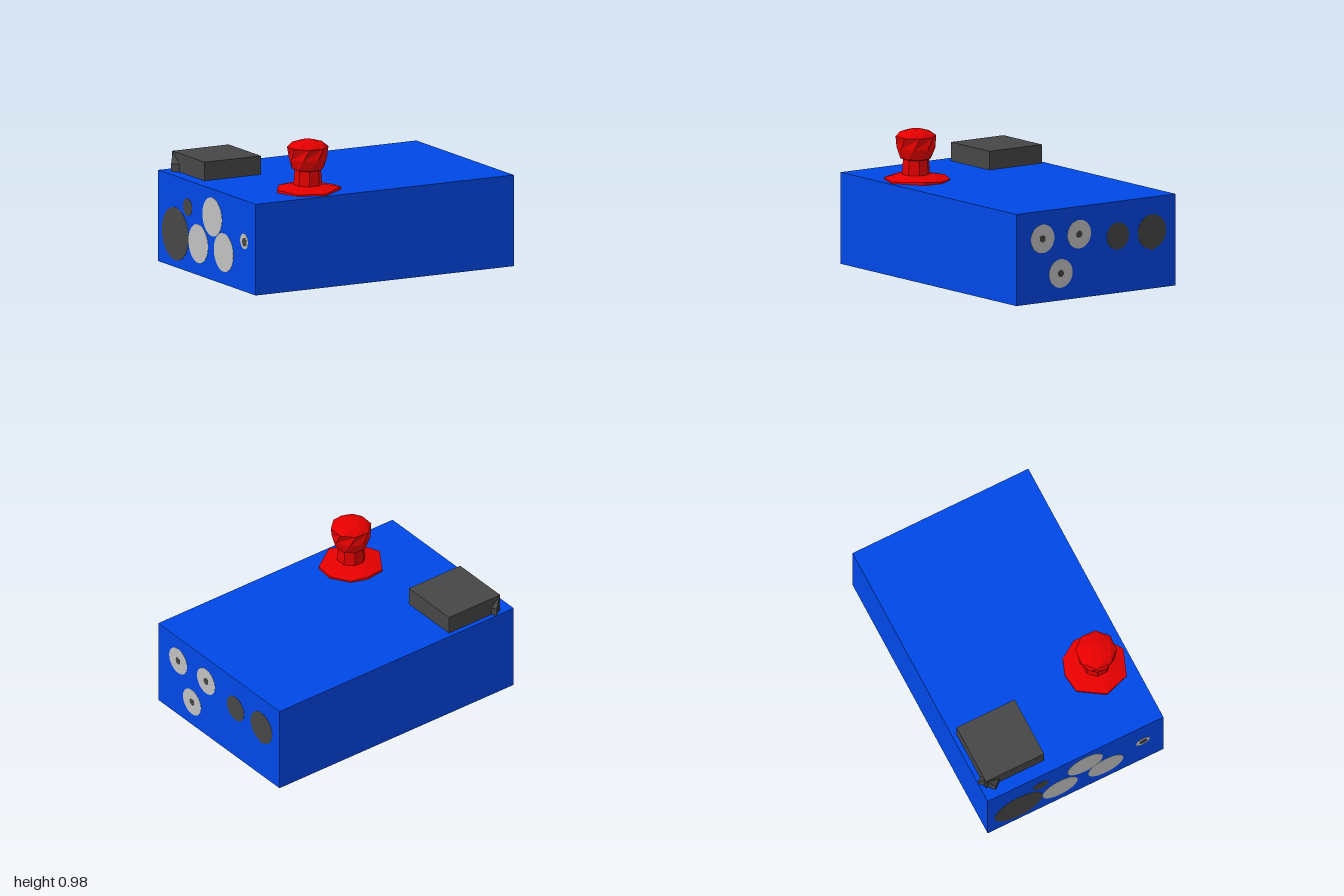
import * as THREE from 'three';

const material = (name, color, flatShading = false) => {
  const m = new THREE.MeshStandardMaterial({ color });
  m.name = name;
  m.flatShading = flatShading;
  return m;
};

// Joins rings of equal point count, listed from bottom to top and clockwise from above
function loft(rings) {
  const pos = [];
  const n = rings[0].length;
  for (let r = 0; r < rings.length - 1; r++) {
    const a = rings[r], b = rings[r + 1];
    for (let i = 0; i < n; i++) {
      const j = (i + 1) % n;
      pos.push(...a[j], ...a[i], ...b[i], ...a[j], ...b[i], ...b[j]);
    }
  }
  // Flat cap on top
  const top = rings[rings.length - 1];
  for (let i = 1; i < n - 1; i++) pos.push(...top[0], ...top[i + 1], ...top[i]);
  const g = new THREE.BufferGeometry();
  g.setAttribute('position', new THREE.Float32BufferAttribute(pos, 3));
  g.computeVertexNormals();
  return g;
}

export function createModel() {
  const model = new THREE.Group();
  const blue = material('blue', 0x0049eb);
  const red = material('red', 0xe60000, true);
  const dark = material('dark grey', 0x464646, true);
  const light = material('light grey', 0xc1c1c1);

  const add = (name, geometry, mat, x = 0, y = 0, z = 0) => {
    const mesh = new THREE.Mesh(geometry, mat);
    mesh.name = name;
    mesh.position.set(x, y, z);
    model.add(mesh);
    return mesh;
  };

  // Main case and the block on its lid
  add('case', new THREE.BoxGeometry(2, 0.627, 1.33), blue, 0, 0.3135, 0);
  add('lidBlock', new THREE.BoxGeometry(0.437, 0.128, 0.44), dark, -0.692, 0.691, -0.412);

  // Small faceted lug at the block's rear corner
  const lug = [[-0.95, -0.577], [-0.856, -0.665], [-0.815, -0.6], [-0.91, -0.53]];
  add('cornerLug', loft([
    lug.map(([x, z]) => [x, 0.627, z]),
    lug.map(([x, z]) => [x, 0.68, z]),
    lug.map(() => [-0.908, 0.754, -0.628]),
  ]), dark);

  // Faceted knob: an uneven octagonal flange, then a stem and a gem-like head
  const outline = [[-0.107, -0.205], [0.03, -0.222], [0.143, -0.18], [0.223, -0.055],
    [0.213, 0.08], [0.02, 0.217], [-0.163, 0.148], [-0.222, -0.03]];
  const flangeRing = (y, wave) =>
    outline.map(([x, z], i) => [x, y + wave * Math.sin(i * 2), z]);
  const knobRing = (y, radius, twist) => outline.map((_, i) => {
    const angle = Math.PI * (-0.66 + i / 4) + twist;
    return [radius * Math.cos(angle), y, radius * Math.sin(angle)];
  });
  add('knob', loft([
    flangeRing(0.625, 0), flangeRing(0.641, 0.006),
    knobRing(0.67, 0.097, 0.1), knobRing(0.772, 0.09, 0.1), knobRing(0.779, 0.108, 0.1),
    knobRing(0.85, 0.131, 0.45), knobRing(0.93, 0.14, 0.15),
    knobRing(0.957, 0.108, 0.5), knobRing(0.975, 0.045, 0.3),
  ]), red, -0.463, 0, 0.43);

  // Thin round plates on the two ends
  const disc = (name, mat, side, y, z, radius, thickness = 0.003) => {
    const g = new THREE.CylinderGeometry(radius, radius, thickness, 32);
    g.rotateZ(Math.PI / 2);
    add(name, g, mat, side, y, z);
  };

  // Left end: three sockets with hubs, two dark ports
  for (const [y, z] of [[0.437, 0.446], [0.437, 0.14], [0.184, 0.294]]) {
    disc('socket', light, 1, y, z, 0.098);
    disc('socketHub', dark, 1, y, z, 0.024, 0.006);
  }
  disc('smallPort', dark, 1, 0.39, -0.183, 0.093);
  disc('largePort', dark, 1, 0.39, -0.468, 0.118);
  const tip = add('largePortTip', new THREE.BoxGeometry(0.003, 0.12, 0.12), dark, 1, 0.342, -0.468);
  tip.rotation.x = Math.PI / 4;

  // Right end: dark ports, plain plates and a small socket
  disc('rightLargePort', dark, -1, 0.23, -0.43, 0.182);
  disc('rightSmallPort', dark, -1, 0.443, -0.263, 0.06);
  for (const [y, z] of [[0.217, -0.117], [0.435, 0.073], [0.218, 0.229]]) {
    disc('rightPlate', light, -1, y, z, 0.133);
  }
  disc('rightSocket', light, -1, 0.345, 0.509, 0.053);
  disc('rightSocketHub', dark, -1, 0.34, 0.514, 0.03, 0.006);

  return model;
}
